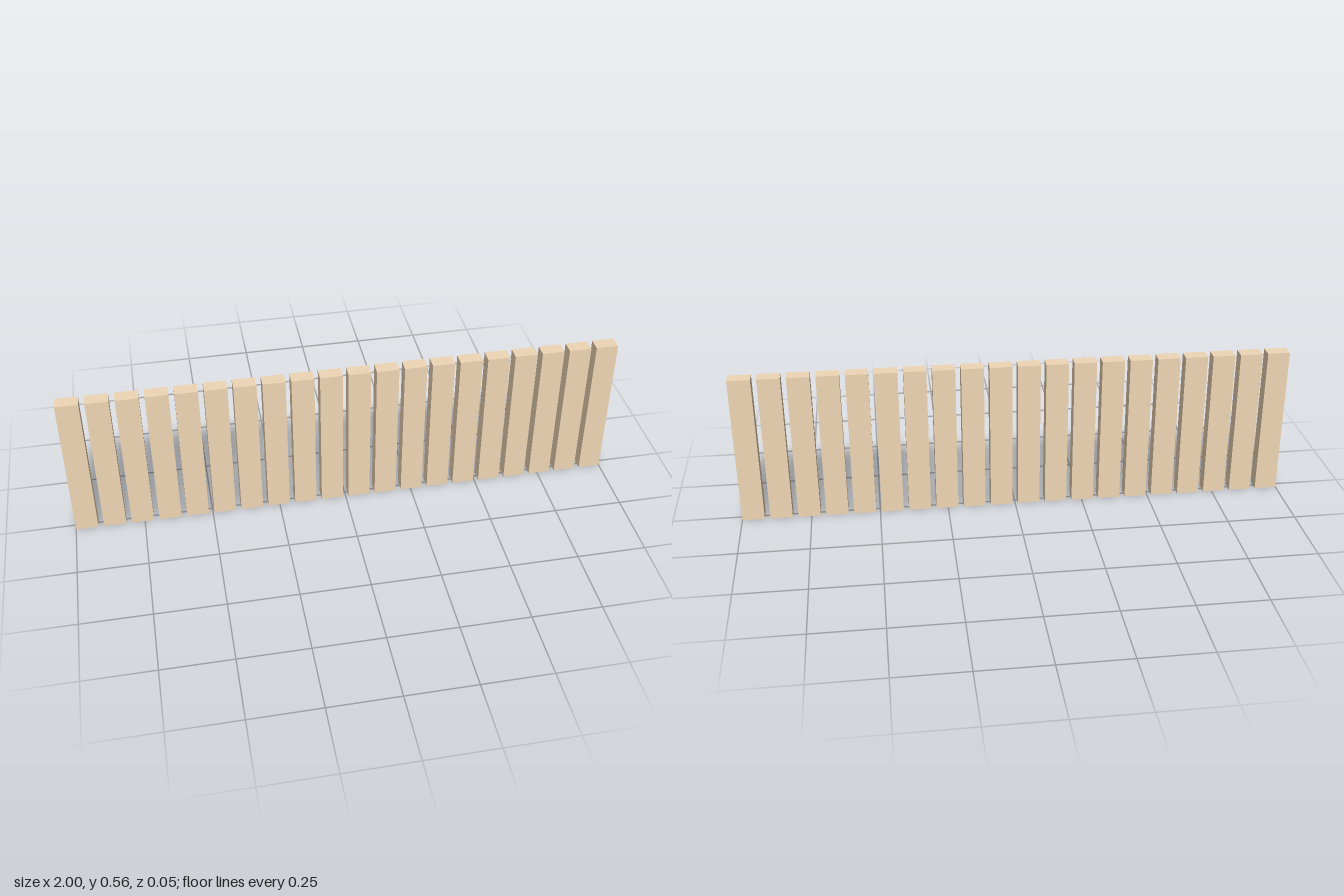
import * as THREE from 'three';

const COUNT = 20;
const PITCH = 2 / (COUNT - 0.2); // board plus gap
const WIDTH = PITCH * 0.8;
const HEIGHT = 0.555;
const DEPTH = 0.049;

export function createModel() {
  const fence = new THREE.Group();
  fence.name = 'slattedFence';

  const wood = new THREE.MeshStandardMaterial({ color: 0xf0d7b5 });
  const boardGeometry = new THREE.BoxGeometry(WIDTH, HEIGHT, DEPTH);

  // Row of evenly spaced upright boards
  for (let i = 0; i < COUNT; i++) {
    const board = new THREE.Mesh(boardGeometry, wood);
    board.name = `board${i + 1}`;
    board.position.set((i - (COUNT - 1) / 2) * PITCH, HEIGHT / 2, 0);
    fence.add(board);
  }
  return fence;
}
